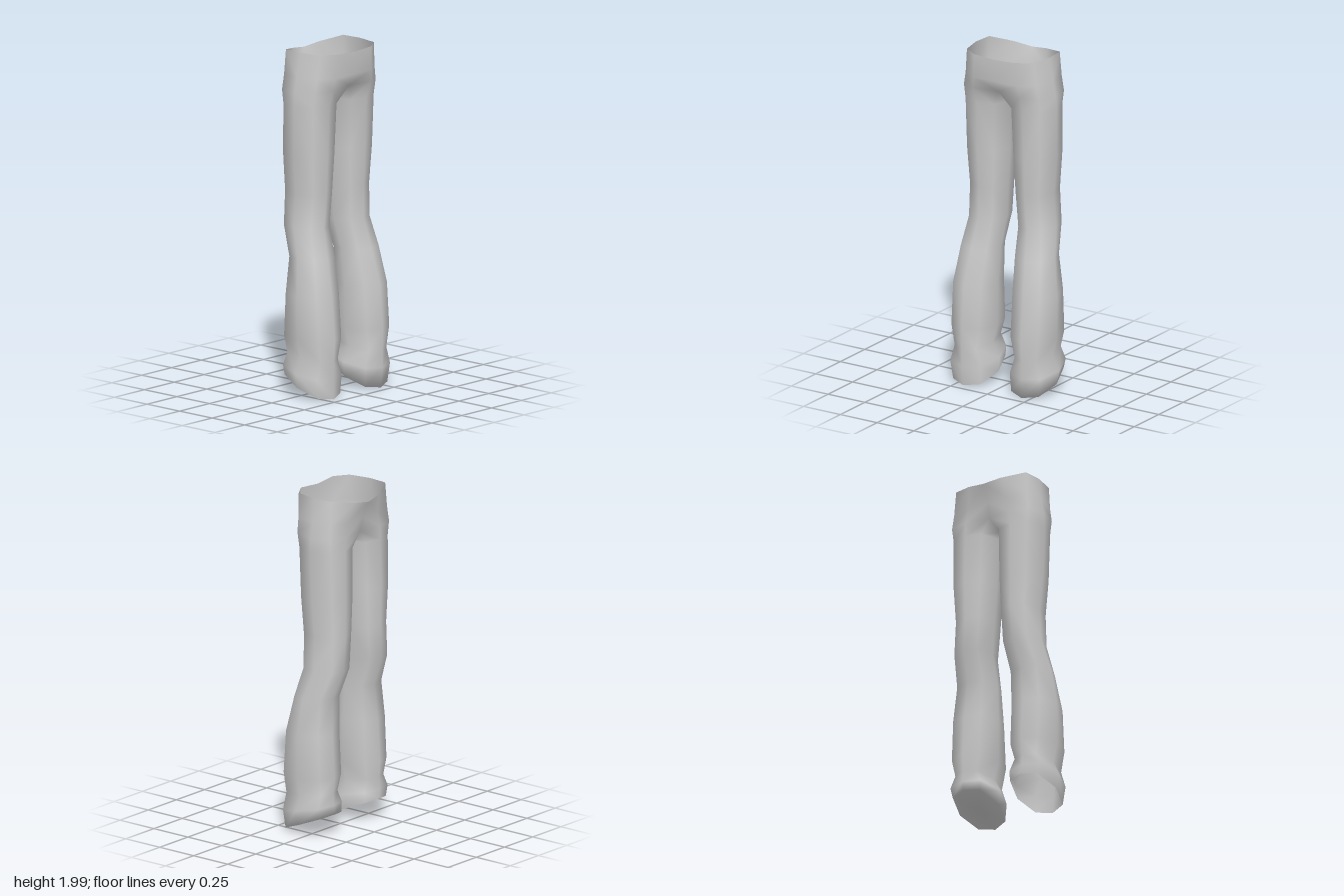
import * as THREE from 'three';
import { mergeVertices } from 'three/addons/utils/BufferGeometryUtils.js';

// Octagon around a leg: front-inner, front, front-outer, outer, back-outer, back, back-inner, inner
const OCTAGON = [[-0.7, 0.78], [0, 1], [0.7, 0.78], [1, 0], [0.7, -0.82], [0, -1], [-0.7, -0.82], [-1, 0]];

// Waist and hip half-rows run from front centre round the side to back centre
const WAIST = [[0, 1.99, 0.17], [0.14, 2, 0.175], [0.225, 2, 0.12], [0.25, 2, -0.01], [0.24, 2, -0.13], [0.11, 1.975, -0.195], [0, 1.96, -0.21]];
const HIP = [[0, 1.86, 0.168], [0.15, 1.86, 0.17], [0.24, 1.86, 0.11], [0.27, 1.86, -0.02], [0.25, 1.86, -0.135], [0.13, 1.86, -0.165], [0, 1.86, -0.162]];
// The crotch row closes between the legs with one extra point
const CROTCH = [[0, 1.79, 0.135], [0.16, 1.79, 0.16], [0.255, 1.78, 0.105], [0.287, 1.77, -0.02], [0.262, 1.77, -0.14], [0.15, 1.77, -0.168], [0, 1.77, -0.145], [0, 1.735, 0]];

// Leg rings: height, outer x, inner x, front z, back z, tilt (drop towards the front)
const LEG = [
  [1.69, 0.293, 0.018, 0.125, -0.165, 0],
  [1.4, 0.287, 0.028, 0.115, -0.17, 0],
  [1.18, 0.267, 0.043, 0.105, -0.167, 0],
  [0.98, 0.28, 0.055, 0.095, -0.163, 0],
  [0.81, 0.308, 0.06, 0.14, -0.097, 0],
  [0.6, 0.335, 0.067, 0.188, -0.108, 0],
  [0.35, 0.335, 0.067, 0.21, -0.124, 0],
  [0.24, 0.307, 0.1, 0.203, -0.115, 0.1],
  [0.155, 0.35, 0.055, 0.205, -0.122, 0.2],
  [0.07, 0.33, 0.065, 0.198, -0.122, 0.39],
];

function legRing([y, outer, inner, front, back, tilt]) {
  const cx = (outer + inner) / 2, rx = (outer - inner) / 2;
  const cz = (front + back) / 2, rz = (front - back) / 2;
  return OCTAGON.map(([u, v]) => [cx + u * rx, y - tilt * v * rz, cz + v * rz]);
}

export function createModel() {
  const rows = [WAIST, HIP, CROTCH, ...LEG.map(legRing)];
  const positions = [];

  // Adds a triangle on one side, reversing its winding on the mirrored side
  const tri = (side, a, b, c) => {
    for (const p of side > 0 ? [a, b, c] : [a, c, b]) positions.push(side * p[0], p[1], p[2]);
  };

  for (const side of [1, -1]) {
    for (let i = 0; i < rows.length - 1; i++) {
      const top = rows[i], low = rows[i + 1];
      const closed = i >= 2; // below the crotch the rows are full loops
      for (let j = 0; j < (closed ? 8 : 6); j++) {
        const k = (j + 1) % 8;
        tri(side, top[j], low[j], top[k]);
        tri(side, top[k], low[j], low[k]);
      }
    }
  }

  // Sole closing the left cuff; the right cuff stays open
  const hem = rows[rows.length - 1];
  const middle = [0, 1, 2].map(n => hem.reduce((sum, p) => sum + p[n], 0) / 8);
  for (let j = 0; j < 8; j++) tri(1, middle, hem[(j + 1) % 8], hem[j]);

  // Weld the halves so the shading is smooth all round
  let geometry = new THREE.BufferGeometry();
  geometry.setAttribute('position', new THREE.Float32BufferAttribute(positions, 3));
  geometry = mergeVertices(geometry, 1e-4);
  geometry.computeVertexNormals();

  const trousers = new THREE.Mesh(geometry, new THREE.MeshStandardMaterial({ color: 0xcccccc, side: THREE.DoubleSide }));
  trousers.name = 'trousers';

  const group = new THREE.Group();
  group.name = 'trousersModel';
  group.add(trousers);
  return group;
}
